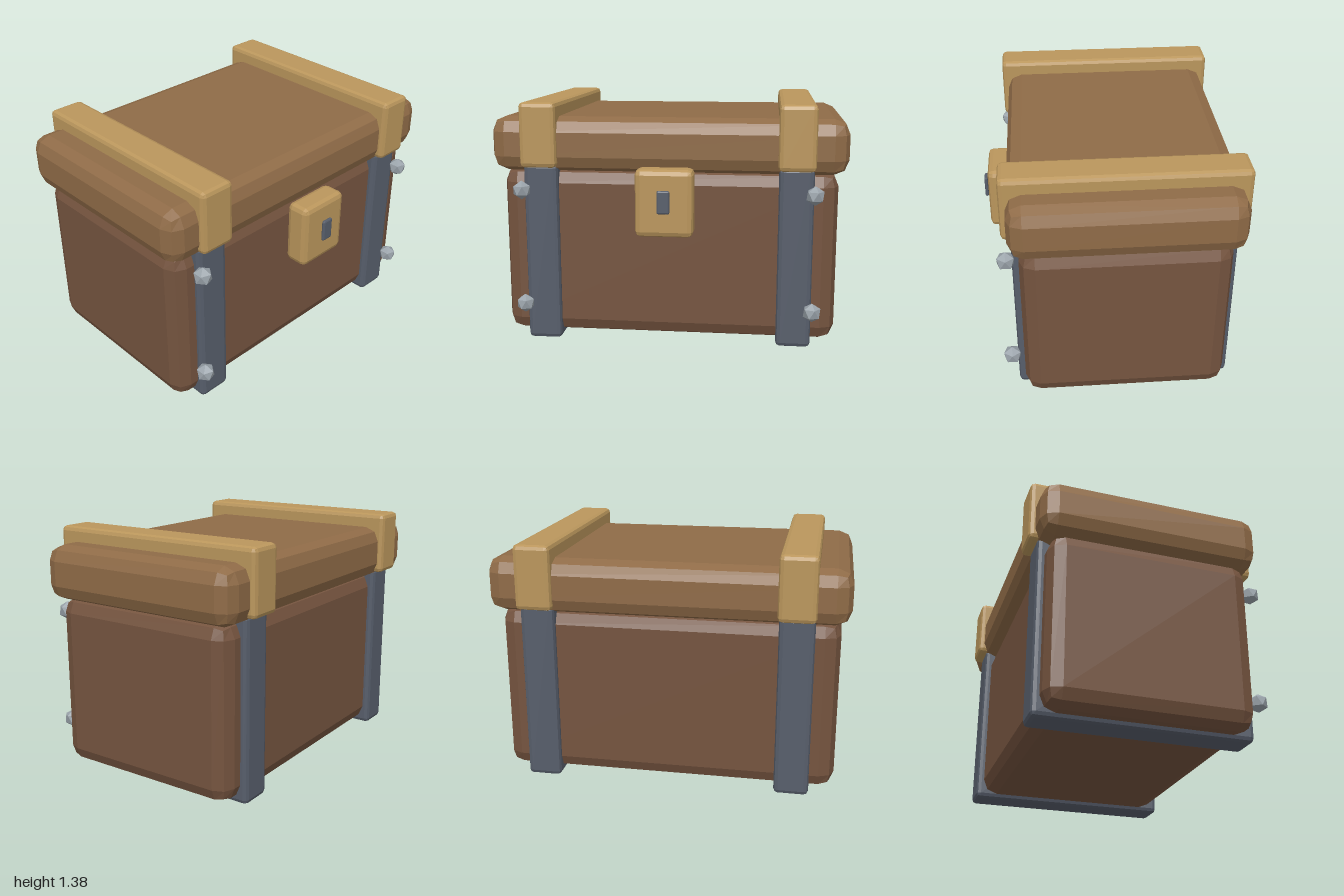
import * as THREE from 'three';
import { RoundedBoxGeometry } from 'three/addons/geometries/RoundedBoxGeometry.js';

const paint = (color) => new THREE.MeshStandardMaterial({ color, flatShading: true });

// Bevelled box given by its min/max along each axis
function block(name, [x0, x1], [y0, y1], [z0, z1], radius, material) {
  const geometry = new RoundedBoxGeometry(x1 - x0, y1 - y0, z1 - z0, 1, radius);
  const mesh = new THREE.Mesh(geometry, material);
  mesh.position.set((x0 + x1) / 2, (y0 + y1) / 2, (z0 + z1) / 2);
  mesh.name = name;
  return mesh;
}

export function createModel() {
  const chest = new THREE.Group();
  chest.name = 'chest';

  const bodyWood = paint(0x75543f);
  const lidWood = paint(0x8f6b47);
  const brass = paint(0xba965c);
  const iron = paint(0x575e6b);
  const steel = paint(0x9aa3aa);

  // Wooden box and lid
  chest.add(block('body', [-0.95, 0.95], [0.025, 1.0], [-0.622, 0.51], 0.085, bodyWood));
  chest.add(block('lid', [-1, 1], [0.985, 1.293], [-0.68, 0.563], 0.085, lidWood));

  // Faceted stud with one vertex pointing straight up
  const studGeometry = new THREE.IcosahedronGeometry(0.054, 0);
  studGeometry.rotateZ(-Math.atan(2 / (1 + Math.sqrt(5))));

  for (const side of [-1, 1]) {
    const label = side > 0 ? 'left' : 'right';
    const cx = side * 0.717;

    // Iron strap round the body, brass band over the lid
    chest.add(block(label + 'Strap', [cx - 0.097, cx + 0.097], [0, 1.03], [-0.661, 0.549], 0.025, iron));
    chest.add(block(label + 'LidBand', [cx - 0.103, cx + 0.103], [1.013, 1.376], [-0.712, 0.598], 0.025, brass));

    // Studs on the outer front edge of each strap
    for (const y of [0.885, 0.222]) {
      const stud = new THREE.Mesh(studGeometry, steel);
      stud.position.set(side * 0.817, y, 0.58);
      stud.name = label + (y > 0.5 ? 'UpperStud' : 'LowerStud');
      chest.add(stud);
    }
  }

  // Lock plate and keyhole
  chest.add(block('lockPlate', [-0.16, 0.16], [0.655, 1.028], [0.55, 0.69], 0.03, brass));
  chest.add(block('keyhole', [-0.035, 0.035], [0.792, 0.92], [0.699, 0.719], 0.009, iron));

  return chest;
}
